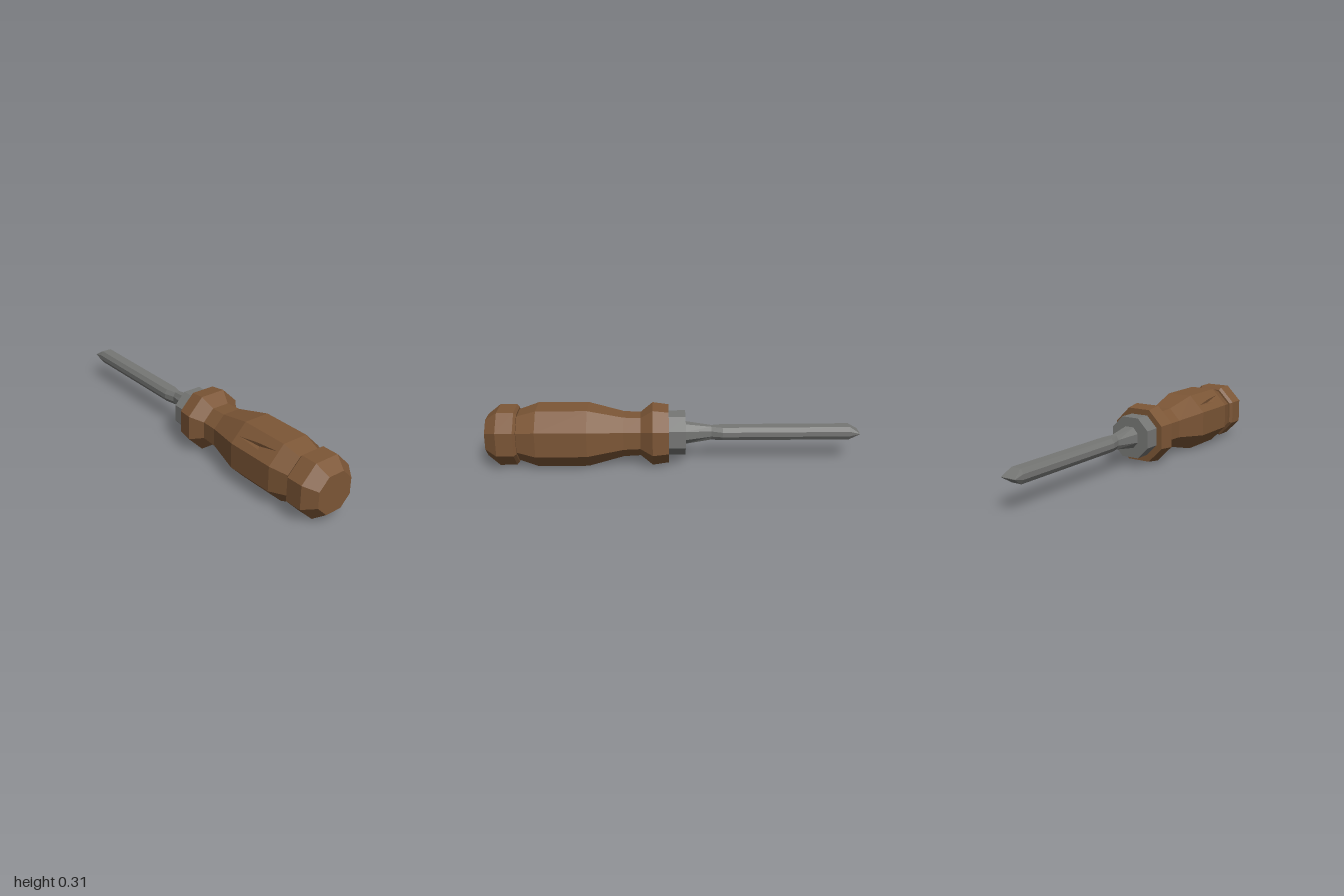
import * as THREE from 'three';

const wood = new THREE.MeshStandardMaterial({ color: 0x7c5636 });
wood.name = 'brown wood';
const steel = new THREE.MeshStandardMaterial({ color: 0x767775 });
steel.name = 'grey steel';

// Eight-sided section, counter-clockwise seen from +z:
// hx, hy are half width and height; tx, ty the half lengths of the flat sides
function section([z, hx, hy, tx, ty]) {
  return [[hx, -ty], [hx, ty], [tx, hy], [-tx, hy], [-hx, ty], [-hx, -ty], [-tx, -hy], [tx, -hy]]
    .map(([x, y]) => new THREE.Vector3(x, y, z));
}

const round = (z, r) => [z, r * 1.015, r, r * 0.455, r * 0.43];

// Facet a, b, c, d with a leaf-shaped nick cut into it
function nickedFacet(add, a, b, c, d) {
  const at = (u, v) => a.clone().lerp(b, u).lerp(d.clone().lerp(c, u), v);
  const outer = [a, b, c, d];
  const rim = [at(0.04, 0.36), at(0.5, 0.45), at(0.93, 0.6), at(0.4, 0.68)];
  const inward = new THREE.Vector3(1, -1, 0).normalize();
  const floor = at(0.47, 0.53).addScaledVector(inward, 0.015);
  for (let i = 0; i < 4; i++) {
    const j = (i + 1) % 4;
    add(outer[i], outer[j], rim[j]);
    add(outer[i], rim[j], rim[i]);
    add(rim[i], rim[j], floor);
  }
}

// Faceted skin through sections listed from +z to -z, with end caps
function loft(name, specs, material, nickRow = -1) {
  const rings = specs.map(section);
  const pos = [];
  const add = (...pts) => pts.forEach((p) => pos.push(p.x, p.y, p.z));
  for (let r = 0; r < rings.length - 1; r++) {
    for (let k = 0; k < 8; k++) {
      const n = (k + 1) % 8;
      const a = rings[r][k], b = rings[r + 1][k], c = rings[r + 1][n], d = rings[r][n];
      if (r === nickRow && k === 3) nickedFacet(add, a, b, c, d);
      else {
        add(a, b, c);
        add(a, c, d);
      }
    }
  }
  const first = rings[0], last = rings[rings.length - 1];
  for (let k = 1; k < 7; k++) {
    add(first[0], first[k], first[k + 1]);
    add(last[0], last[k + 1], last[k]);
  }
  const geometry = new THREE.BufferGeometry();
  geometry.setAttribute('position', new THREE.Float32BufferAttribute(pos, 3));
  geometry.computeVertexNormals();
  const mesh = new THREE.Mesh(geometry, material);
  mesh.name = name;
  return mesh;
}

export function createModel() {
  const model = new THREE.Group();
  model.name = 'chisel';

  // Butt of the handle
  const pommel = loft('pommel', [
    round(1, 0.101), round(0.935, 0.149), round(0.845, 0.149), round(0.832, 0.135),
  ], wood);

  // Swelling grip, narrow neck and collar
  const grip = loft('grip', [
    round(0.84, 0.122), round(0.73, 0.157), round(0.46, 0.157), round(0.27, 0.111),
    round(0.18, 0.107), round(0.115, 0.154), round(0.03, 0.143),
  ], wood, 1);

  // Metal ring between handle and blade
  const ferrule = loft('ferrule', [round(0.035, 0.109), round(-0.06, 0.109)], steel);
  ferrule.position.set(-0.004, 0.003, 0);

  // Tapered shank, long blade and wedge tip
  const blade = loft('blade', [
    [-0.055, 0.054, 0.057, 0.025, 0.024],
    [-0.2, 0.027, 0.037, 0.014, 0.015],
    [-0.26, 0.043, 0.036, 0.028, 0.013],
    [-0.945, 0.042, 0.036, 0.028, 0.013],
    [-1, 0.042, 0.001, 0.041, 0.0005],
  ], steel);
  blade.position.set(0, 0.004, 0);

  model.add(pommel, grip, ferrule, blade);
  for (const part of model.children) part.position.y += 0.158;
  return model;
}
